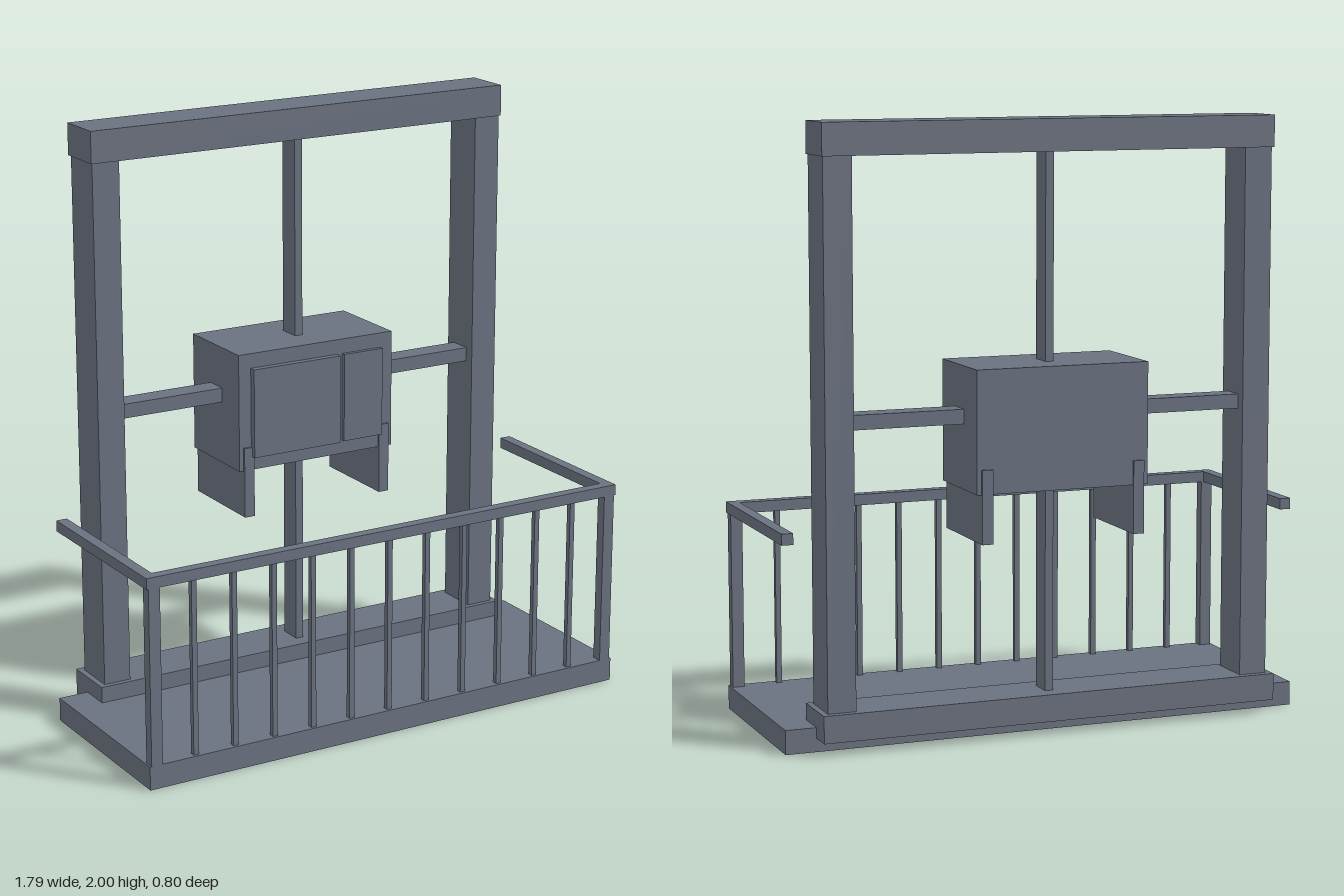
import * as THREE from 'three';

export function createModel() {
  const model = new THREE.Group();
  model.name = 'balconyWindow';
  const grey = new THREE.MeshStandardMaterial({ color: 0x6b7280 });
  grey.name = 'slate grey';

  // Box from its limits on each axis
  const box = (name, [x0, x1], [y0, y1], [z0, z1], parent = model) => {
    const mesh = new THREE.Mesh(new THREE.BoxGeometry(x1 - x0, y1 - y0, z1 - z0), grey);
    mesh.position.set((x0 + x1) / 2, (y0 + y1) / 2, (z0 + z1) / 2);
    mesh.name = name;
    parent.add(mesh);
  };
  // The same box on both sides of x = 0
  const pair = (name, [x0, x1], y, z, parent) => {
    box(name + 'Left', [x0, x1], y, z, parent);
    box(name + 'Right', [-x1, -x0], y, z, parent);
  };
  const group = (name) => {
    const g = new THREE.Group();
    g.name = name;
    model.add(g);
    return g;
  };

  // Balcony floor
  box('floorSlab', [-0.893, 0.893], [0, 0.08], [-0.252, 0.4]);

  // Window frame with crossing bars
  const frame = group('windowFrame');
  box('sill', [-0.79, 0.79], [0.045, 0.135], [-0.333, -0.142], frame);
  box('header', [-0.775, 0.775], [1.895, 2], [-0.32, -0.155], frame);
  pair('jamb', [0.675, 0.77], [0.13, 1.9], [-0.31, -0.16], frame);
  box('mullion', [-0.014, 0.014], [0.13, 1.9], [-0.275, -0.195], frame);
  box('transom', [-0.68, 0.68], [1.032, 1.08], [-0.275, -0.195], frame);

  // Air conditioner on two brackets
  const cooler = group('airConditioner');
  box('housing', [-0.295, 0.295], [0.82, 1.22], [-0.393, -0.08], cooler);
  box('grillePanel', [-0.25, 0.08], [0.867, 1.17], [-0.085, -0.057], cooler);
  box('controlPanel', [0.1, 0.25], [0.867, 1.17], [-0.085, -0.065], cooler);
  pair('bracket', [0.243, 0.28], [0.66, 0.9], [-0.4, -0.072], cooler);

  // Railing
  const railing = group('railing');
  box('frontRail', [-0.893, 0.893], [0.673, 0.71], [0.362, 0.4], railing);
  pair('sideRail', [0.855, 0.893], [0.673, 0.71], [-0.237, 0.362], railing);
  pair('cornerPost', [0.847, 0.887], [0.08, 0.675], [0.364, 0.4], railing);
  for (let i = -5; i <= 5; i++) {
    const x = i * 0.1445;
    box('baluster', [x - 0.009, x + 0.009], [0.08, 0.675], [0.372, 0.39], railing);
  }
  return model;
}
